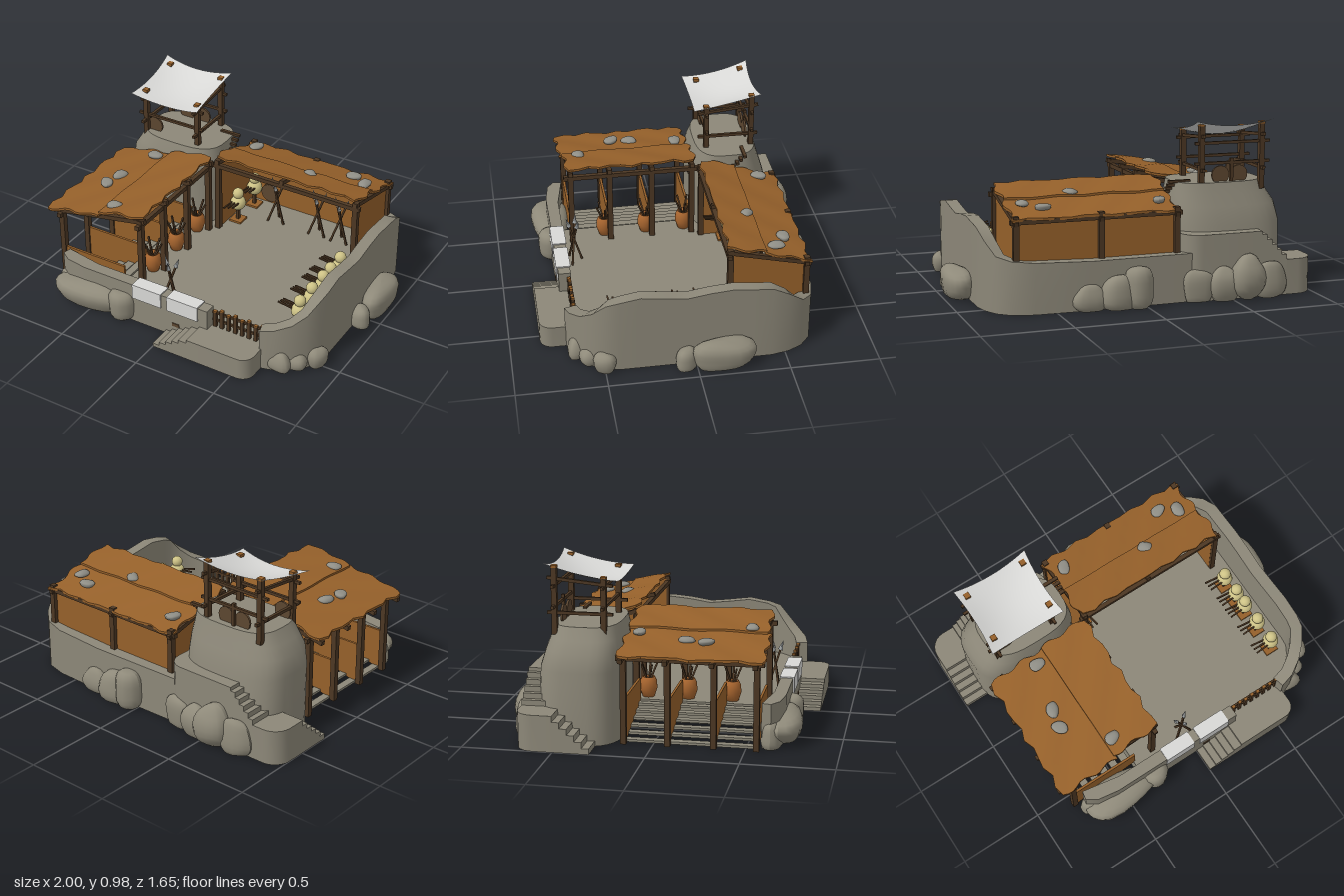
import * as THREE from 'three';
import { toCreasedNormals } from 'three/addons/utils/BufferGeometryUtils.js';

const M = (name, color, extra = {}) => Object.assign(new THREE.MeshStandardMaterial({ color, ...extra }), { name });

export function createModel() {
  const root = new THREE.Group();
  const stone = M('stone', 0x8c8778), rock = M('rock', 0x8f8a7a), plank = M('plank', 0x95602a);
  const darkWood = M('darkWood', 0x4c3723), straw = M('straw', 0xcdc286), metal = M('metal', 0x9fa3a4);
  const cloth = M('cloth', 0xd8d8d6, { side: THREE.DoubleSide }), clay = M('clay', 0xa9662f);
  const pebble = M('pebble', 0x8f8e86), leather = M('leather', 0x5c4630);
  const V = (x, y, z) => new THREE.Vector3(x, y, z);
  const FLOOR = 0.13;

  const add = (name, geo, mat, parent = root) => {
    const m = new THREE.Mesh(geo, mat);
    m.name = name;
    parent.add(m);
    return m;
  };
  // box given by its min and max on each axis
  const box = (name, mat, x0, x1, y0, y1, z0, z1, parent) => {
    const m = add(name, new THREE.BoxGeometry(x1 - x0, y1 - y0, z1 - z0), mat, parent);
    m.position.set((x0 + x1) / 2, (y0 + y1) / 2, (z0 + z1) / 2);
    return m;
  };
  // square beam between two points
  const beam = (name, a, b, w, parent = root) => {
    const m = add(name, new THREE.BoxGeometry(w, a.distanceTo(b), w), darkWood, parent);
    m.position.copy(a).lerp(b, 0.5);
    m.quaternion.setFromUnitVectors(V(0, 1, 0), b.clone().sub(a).normalize());
    return m;
  };
  // upright slab from an x,z outline
  const slab = (name, mat, pts, y0, y1) => {
    const s = new THREE.Shape(pts.map(([x, z]) => new THREE.Vector2(x, -z)));
    const g = new THREE.ExtrudeGeometry(s, { depth: y1 - y0, bevelEnabled: false });
    g.rotateX(-Math.PI / 2).translate(0, y0, 0);
    return add(name, toCreasedNormals(g, 0.7), mat);
  };
  // flat panel from an x,y outline
  const panel = (pts) => new THREE.ExtrudeGeometry(new THREE.Shape(pts.map((p) => new THREE.Vector2(...p))), { depth: 0.014, bevelEnabled: false });
  const arc = (cx, cz, r, a0, a1, n = 6) => Array.from({ length: n + 1 }, (_, i) => {
    const a = a0 + (a1 - a0) * i / n;
    return [cx + r * Math.cos(a), cz + r * Math.sin(a)];
  });
  // skin over equal-sized cross-section rings, with capped ends
  const loft = (rings) => {
    const n = rings[0].length, pos = rings.flat(2), idx = [];
    for (let i = 0; i < rings.length - 1; i++) for (let j = 0; j < n; j++) {
      const a = i * n + j, b = i * n + (j + 1) % n;
      idx.push(a, b, a + n, b, b + n, a + n);
    }
    const e = (rings.length - 1) * n;
    for (let j = 1; j < n - 1; j++) idx.push(0, j + 1, j, e, e + j, e + j + 1);
    const g = new THREE.BufferGeometry();
    g.setAttribute('position', new THREE.Float32BufferAttribute(pos, 3));
    g.setIndex(idx);
    return toCreasedNormals(g, 0.7);
  };

  // rampart: outer x, z and height along the right and back sides
  const path = [[0.6, 0.69, 0.25], [0.68, 0.67, 0.27], [0.76, 0.62, 0.3], [0.82, 0.56, 0.35], [0.86, 0.49, 0.42],
    [0.87, 0.42, 0.44], [0.87, 0.3, 0.46], [0.87, 0.15, 0.44], [0.87, 0.05, 0.43], [0.87, -0.08, 0.45], [0.87, -0.2, 0.46],
    [0.87, -0.3, 0.45], [0.87, -0.42, 0.44], [0.85, -0.52, 0.38], [0.81, -0.6, 0.31], [0.74, -0.66, 0.29],
    [0.62, -0.69, 0.28], [0.3, -0.7, 0.27], [-0.27, -0.69, 0.27]];
  const inset = (i, d) => {
    const a = path[Math.max(i - 1, 0)], b = path[Math.min(i + 1, path.length - 1)];
    const dx = b[0] - a[0], dz = b[1] - a[1], l = Math.hypot(dx, dz);
    return [path[i][0] + dz / l * d, path[i][1] - dx / l * d];
  };
  add('rampart', loft(path.map(([x, z, h], i) => {
    const [ix, iz] = inset(i, 0.07);
    return [[x, 0, z], [ix, 0, iz], [ix, h, iz], [x, h, z]];
  })), stone);

  // courtyard floor and front parapet
  slab('courtyard', stone, [[-0.37, -0.4], [-0.37, 0.65], [0.6, 0.65], ...path.map((_, i) => inset(i, 0.04)).slice(1)], 0.002, FLOOR);
  slab('frontParapet', stone, [[-0.73, 0.58], [-0.74, 0.63], [-0.68, 0.67], [-0.55, 0.69], [0.27, 0.69], [0.27, 0.62], [-0.5, 0.62]], 0, 0.25);

  // entrance landing, steps and gate
  slab('landing', stone, [[0.22, 0.62], [0.61, 0.62], ...arc(0.54, 0.76, 0.07, 0, Math.PI / 2), [0.22, 0.83]], 0, FLOOR);
  for (let i = 0; i < 5; i++) box('entranceStep', stone, i * 0.042, 0.222, 0, 0.022 * (i + 1), 0.66, 0.83);
  for (let i = 0; i < 8; i++) {
    const x = 0.28 + i * 0.043, y = 0.225 + 0.015 * (i % 2);
    box('gatePicket', darkWood, x, x + 0.02, FLOOR, y, 0.625, 0.643);
    box('gatePicketTip', plank, x, x + 0.02, y, y + 0.008, 0.625, 0.643);
  }
  for (const y of [0.16, 0.21]) box('gateRail', darkWood, 0.27, 0.6, y, y + 0.014, 0.622, 0.634);

  // bare bricks showing in the walls
  for (const [x, y, z] of [[0.065, 0.08, 0.692], [-0.48, 0.415, -0.178]]) box('bareBrick', leather, x - 0.022, x + 0.022, y - 0.01, y + 0.01, z - 0.006, z + 0.003);

  // cloths hung over the parapet
  for (const [a, b] of [[-0.22, -0.03], [0.01, 0.21]]) {
    box('bannerTop', cloth, a, b, 0.25, 0.257, 0.615, 0.698);
    box('bannerFront', cloth, a, b, 0.165, 0.257, 0.69, 0.698);
  }

  // tower body from rounded-square rings
  const ring = (y, x0, x1, z0, z1) => Array.from({ length: 36 }, (_, i) => {
    const a = -i / 36 * Math.PI * 2, p = (c) => Math.sign(c) * Math.abs(c) ** 0.65;
    return [(x0 + x1) / 2 + p(Math.cos(a)) * (x1 - x0) / 2, y, (z0 + z1) / 2 + p(Math.sin(a)) * (z1 - z0) / 2];
  });
  add('towerBody', loft([ring(0, -0.87, -0.22, -0.66, -0.18), ring(0.4, -0.87, -0.23, -0.64, -0.18), ring(0.5, -0.85, -0.23, -0.61, -0.18),
    ring(0.56, -0.81, -0.24, -0.59, -0.19), ring(0.63, -0.77, -0.25, -0.57, -0.21)]), stone);

  // stair winding up behind the tower
  slab('stairLanding', stone, [[-0.7, -0.5], [-1, -0.5], ...arc(-0.9, -0.61, 0.1, Math.PI, Math.PI * 1.5), [-0.7, -0.71]], 0, 0.2);
  for (let i = 0; i < 5; i++) box('lowerStep', stone, -1, -0.75, 0, 0.167 - i * 0.034, -0.5, -0.46 + i * 0.04);
  for (let i = 0; i < 5; i++) box('upperStep', stone, -0.83 + i * 0.03, -0.65, 0, 0.23 + i * 0.03, -0.71, -0.5);
  slab('towerLedge', stone, [[-0.68, -0.5], [-0.68, -0.71], ...arc(-0.33, -0.61, 0.1, -Math.PI / 2, 0), [-0.23, -0.35]], 0, 0.37);
  for (let i = 0; i < 4; i++) box('towerBridgeStep', darkWood, -0.34, -0.21, 0.56 + i * 0.022, 0.575 + i * 0.022, -0.42 - i * 0.022, -0.4 - i * 0.022);

  // lookout frame on the tower
  for (const x of [-0.74, -0.38]) {
    for (const [z, y] of [[-0.27, 0.89], [-0.54, 0.945]]) {
      beam('lookoutPost', V(x, 0.58, z), V(x, y, z), 0.03);
      box('lookoutPostCap', plank, x - 0.016, x + 0.016, y, y + 0.014, z - 0.016, z + 0.016);
    }
    for (const y of [0.7, 0.855]) beam('lookoutSideRail', V(x, y, -0.22), V(x, y + (y > 0.8 ? 0.035 : 0), -0.58), 0.017);
  }
  for (const z of [-0.27, -0.54]) for (const y of [0.735, 0.848]) beam('lookoutRail', V(-0.79, y, z), V(-0.34, y, z), 0.016);
  beam('lookoutStud', V(-0.56, 0.62, -0.54), V(-0.56, 0.76, -0.54), 0.018);
  const canopy = new THREE.PlaneGeometry(0.46, 0.4, 12, 10).rotateX(-Math.PI / 2), cp = canopy.attributes.position;
  for (let i = 0; i < cp.count; i++) {
    const u = cp.getX(i) / 0.23, v = cp.getZ(i) / 0.2;
    cp.setXYZ(i, cp.getX(i) * (0.93 + 0.07 * v * v), 0.921 - 0.04 * v - 0.045 * (1 - u * u) * (1 - 0.3 * v * v) + 0.015 * v * v, cp.getZ(i) * (0.93 + 0.07 * u * u));
  }
  canopy.computeVertexNormals();
  add('canopy', canopy, cloth).position.set(-0.565, 0, -0.39);

  // round shields
  for (const [x, y, z, r] of [[-0.69, 0.665, -0.285, 0.052], [-0.61, 0.665, -0.525, 0.052], [-0.5, 0.665, -0.525, 0.052], [-0.05, 0.22, -0.58, 0.06]])
    add('shield', new THREE.CylinderGeometry(r, r, 0.012, 20).rotateX(Math.PI / 2), leather).position.set(x, y, z);

  // roof sheet with wavy edges, straight on the seam side (su, sv); height follows a rule of x and z
  const sheet = (x0, x1, z0, z1, su, sv, h) => {
    const g = new THREE.BoxGeometry(x1 - x0, 0.014, z1 - z0, 12, 1, 12).translate((x0 + x1) / 2, 0, (z0 + z1) / 2), p = g.attributes.position;
    for (let i = 0; i < p.count; i++) {
      const x = p.getX(i), z = p.getZ(i), u = (x - x0) / (x1 - x0) * 2 - 1, v = (z - z0) / (z1 - z0) * 2 - 1;
      const wx = u * su > 0 ? 0 : u ** 5 * 0.014, wz = v * sv > 0 ? 0 : v ** 5 * 0.012;
      p.setXYZ(i, x + wx * Math.sin(z * 37), p.getY(i) + h(x, z) + 0.004 * Math.sin(x * 21 + z * 17), z + wz * Math.sin(x * 37));
    }
    g.computeVertexNormals();
    add('roofSheet', toCreasedNormals(g, 0.5), plank);
  };

  // long side shelter, open to the steps
  const sideRoof = (x) => 0.502 + (x + 0.86) * 0.19;
  sheet(-0.86, -0.5, -0.18, 0.6, 1, 0, sideRoof);
  sheet(-0.51, -0.22, -0.18, 0.58, -1, 0, (x) => sideRoof(x) + 0.012);
  for (const z of [-0.16, 0.08, 0.33, 0.56]) {
    beam('shelterOuterPost', V(-0.78, 0, z), V(-0.78, 0.505, z), 0.032);
    beam('shelterInnerPost', V(-0.24, FLOOR, z), V(-0.24, 0.605, z), 0.032);
    beam('shelterRafter', V(-0.87, 0.478, z), V(-0.21, 0.603, z), 0.026);
    add('shelterPartition', panel([[-0.77, 0], [-0.36, 0.12], [-0.36, 0.249], [-0.77, 0.249]]), plank).position.z = z - 0.007;
  }
  beam('shelterOuterBeam', V(-0.78, 0.475, -0.2), V(-0.78, 0.475, 0.6), 0.026);
  beam('shelterInnerBeam', V(-0.24, 0.57, -0.2), V(-0.24, 0.57, 0.6), 0.026);
  for (let i = 0; i < 6; i++) box('shelterStep', stone, -0.76 + i * 0.066, -0.715 + i * 0.066, 0.004 + i * 0.021, 0.018 + i * 0.021, -0.16, 0.56);

  // back hut
  const hutRoof = (x, z) => 0.617 + (z + 0.2) * 0.25;
  sheet(-0.22, 0.72, -0.41, -0.2, 0, -1, (x, z) => hutRoof(x, z) + 0.012);
  sheet(-0.21, 0.72, -0.65, -0.4, 0, 1, hutRoof);
  box('hutBackWall', plank, -0.2, 0.7, FLOOR, 0.505, -0.628, -0.61);
  for (const x of [-0.2, 0.7])
    add('hutSideWall', panel([[0.21, FLOOR], [0.62, FLOOR], [0.62, 0.505], [0.21, 0.595]]).rotateY(Math.PI / 2), plank).position.x = x - 0.007;
  for (const x of [-0.2, 0.235, 0.71]) {
    if (x !== 0.235) beam('hutFrontPost', V(x, FLOOR, -0.21), V(x, 0.61, -0.21), 0.032);
    beam('hutBackPost', V(x, FLOOR, -0.635), V(x, 0.525, -0.635), 0.032);
    beam('hutRafter', V(x, 0.598, -0.19), V(x, 0.485, -0.66), 0.024);
  }
  box('hutFrontBeam', darkWood, -0.23, 0.74, 0.56, 0.585, -0.215, -0.19);
  box('hutBackBeam', darkWood, -0.23, 0.74, 0.48, 0.505, -0.645, -0.62);

  // lumpy ellipsoid stones, kept above the base plane
  const boulder = (name, mat, x, y, z, rx, ry, rz, seed) => {
    const g = new THREE.SphereGeometry(1, 18, 12), p = g.attributes.position, v = V();
    const q = (c) => Math.sign(c) * Math.abs(c) ** 0.88;
    for (let i = 0; i < p.count; i++) {
      v.fromBufferAttribute(p, i);
      const f = 1 + 0.09 * Math.sin(v.x * 3 + seed) * Math.cos(v.z * 3 + seed * 2) + 0.06 * Math.sin(v.y * 4 + seed * 3);
      p.setXYZ(i, q(v.x) * f * rx, Math.max(q(v.y) * f * ry, -y), q(v.z) * f * rz);
    }
    g.computeVertexNormals();
    const m = add(name, g, mat);
    m.position.set(x, y, z);
    return m;
  };
  [[-0.53, 0.08, 0.67, 0.23, 0.09, 0.11], [-0.3, 0.09, 0.69, 0.08, 0.095, 0.07], [-0.69, 0.06, 0.63, 0.08, 0.08, 0.06],
    [0.7, 0.05, 0.64, 0.07, 0.07, 0.05], [0.78, 0.04, 0.58, 0.05, 0.06, 0.05], [0.86, 0.05, 0.5, 0.05, 0.07, 0.06],
    [0.92, 0.08, -0.15, 0.08, 0.09, 0.18], [0.9, 0.05, 0.06, 0.06, 0.07, 0.06],
    [-0.72, 0.09, -0.72, 0.1, 0.11, 0.05], [-0.58, 0.12, -0.73, 0.1, 0.13, 0.09], [-0.45, 0.08, -0.72, 0.09, 0.11, 0.06], [-0.31, 0.08, -0.7, 0.09, 0.1, 0.04],
    [0.05, 0.11, -0.72, 0.08, 0.12, 0.07], [0.17, 0.08, -0.71, 0.1, 0.1, 0.07], [0.32, 0.06, -0.7, 0.1, 0.08, 0.05]]
    .forEach((a, i) => boulder('boulder', rock, ...a, i * 1.7));
  [[-0.58, -0.11], [-0.65, 0.16], [-0.67, 0.27], [-0.46, 0.49], [-0.13, -0.54], [0.33, -0.37], [0.53, -0.54], [0.63, -0.48]]
    .forEach(([x, z], i) => {
      const y = i < 4 ? sideRoof(x) : hutRoof(x, z);
      boulder('roofStone', pebble, x, y + 0.018, z, 0.046, 0.018, 0.034, i).rotation.y = i * 1.1;
    });

  // practice dummies with arms pointing along their own +z
  const dummy = (x, z, ry) => {
    const d = new THREE.Group();
    d.name = 'practiceDummy';
    box('dummyBase', plank, -0.04, 0.04, 0, 0.012, -0.04, 0.04, d);
    beam('dummyPole', V(0, 0, 0), V(0, 0.12, 0), 0.02, d);
    const b = add('dummyBody', new THREE.SphereGeometry(0.048, 16, 12), straw, d);
    b.position.y = 0.125;
    add('dummyHead', new THREE.SphereGeometry(0.034, 16, 12), straw, d).position.y = 0.19;
    for (const s of [-1, 0, 1]) beam('dummyArm', V(s * 0.02, 0.14, 0.03), V(s * 0.03, 0.15 + s * 0.01, 0.12), 0.009, d);
    d.position.set(x, FLOOR, z);
    d.rotation.y = ry;
    root.add(d);
  };
  for (const z of [-0.06, 0.06, 0.15, 0.28, 0.42]) dummy(0.7, z, -Math.PI / 2);
  for (const z of [-0.34, -0.54]) dummy(-0.14, z, 0);

  // spear stacks tied as tripods, with steel tips
  const spear = (a, b) => {
    beam('spearShaft', a, b, 0.011);
    const dir = b.clone().sub(a).normalize();
    const t = add('spearTip', new THREE.ConeGeometry(0.014, 0.06, 4), metal);
    t.position.copy(b).addScaledVector(dir, 0.015);
    t.quaternion.setFromUnitVectors(V(0, 1, 0), dir);
  };
  for (const [x, z] of [[-0.04, 0.57], [0.07, -0.45], [0.35, -0.45], [0.5, -0.45]]) for (let i = 0; i < 3; i++) {
    const a = i * Math.PI * 2 / 3 + 0.4, c = Math.cos(a), s = Math.sin(a);
    spear(V(x + c * 0.06, FLOOR, z + s * 0.045), V(x - c * 0.035, 0.38, z - s * 0.03));
  }

  // clay jars holding staves
  const jar = [[0, 0], [0.034, 0], [0.05, 0.05], [0.047, 0.09], [0.035, 0.115], [0.03, 0.115], [0.03, 0.095], [0, 0.095]].map((p) => new THREE.Vector2(...p));
  for (const z of [0.36, 0.11, -0.12]) {
    add('jar', new THREE.LatheGeometry(jar, 18), clay).position.set(-0.3, FLOOR, z);
    for (let i = 0; i < 5; i++) {
      const c = Math.cos(i * 1.26), s = Math.sin(i * 1.26);
      beam('stave', V(-0.3, FLOOR + 0.07, z), V(-0.3 + c * 0.06, 0.325, z + s * 0.05), 0.01);
    }
  }
  return root;
}
